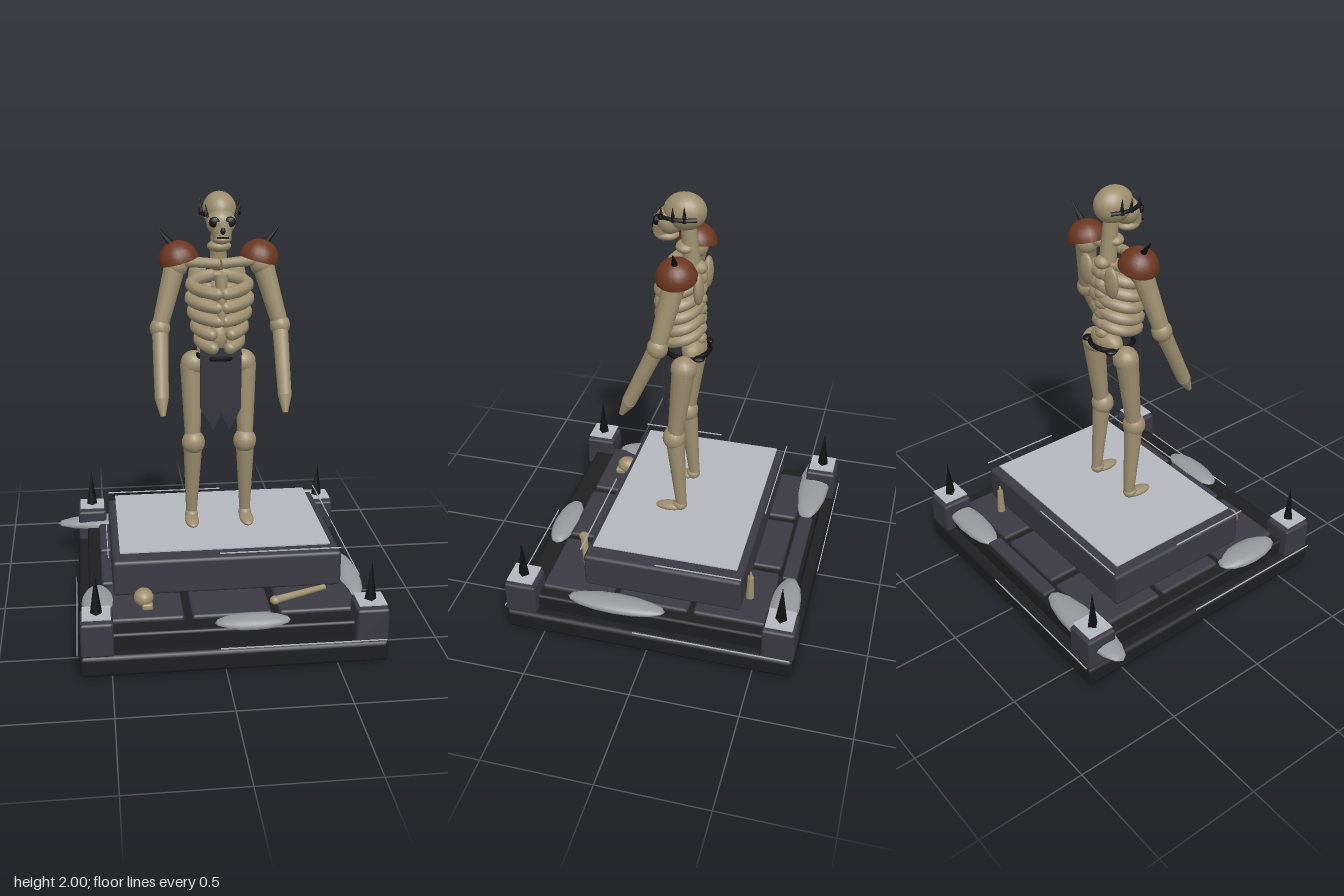
import * as THREE from 'three';
import { RoundedBoxGeometry } from 'three/addons/geometries/RoundedBoxGeometry.js';

const mat = (name, color, extra = {}) => {
  const m = new THREE.MeshStandardMaterial({ color, ...extra });
  m.name = name;
  return m;
};
const V = (x, y, z) => new THREE.Vector3(x, y, z);

export function createModel() {
  const bone = mat('bone', 0x9c8e6e);
  const stone = mat('stone', 0x3b3942);
  const darkStone = mat('dark stone', 0x1f1f21);
  const black = mat('black iron', 0x121214);
  const leather = mat('leather', 0x6b3620, { side: THREE.DoubleSide });
  const cloth = mat('cloth', 0x34333c, { side: THREE.DoubleSide });
  const pale = mat('pale stone', 0xb4b8be);
  const mist = mat('mist', 0x96989c);

  const root = new THREE.Group();
  const add = (parent, name, geo, m, x = 0, y = 0, z = 0) => {
    const mesh = new THREE.Mesh(geo, m);
    mesh.name = name;
    mesh.position.set(x, y, z);
    parent.add(mesh);
    return mesh;
  };
  const block = (p, name, m, w, h, d, x, y, z, r = 0.012) =>
    add(p, name, new RoundedBoxGeometry(w, h, d, 1, r), m, x, y, z);
  const plate = (p, name, m, w, h, d, x, y, z) =>
    add(p, name, new THREE.BoxGeometry(w, h, d), m, x, y, z);
  const blob = (p, name, m, rx, ry, rz, x, y, z, a = 16, b = 12) => {
    const s = add(p, name, new THREE.SphereGeometry(1, a, b), m, x, y, z);
    s.scale.set(rx, ry, rz);
    return s;
  };
  // tapered bone between two points, ra at a, rb at b
  const limb = (p, name, m, a, b, ra, rb, sides = 12) => {
    const dir = b.clone().sub(a);
    const s = add(p, name, new THREE.CylinderGeometry(rb, ra, dir.length(), sides), m);
    s.position.copy(a).addScaledVector(dir, 0.5);
    s.quaternion.setFromUnitVectors(V(0, 1, 0), dir.normalize());
    return s;
  };

  // Base, centred on the figure's axis
  const base = new THREE.Group();
  base.name = 'base';
  base.position.x = 0.045;
  root.add(base);
  block(base, 'bottomSlab', darkStone, 1.37, 0.1, 1.37, 0, 0.05, 0, 0.02);
  block(base, 'middleSlab', darkStone, 1.27, 0.09, 1.27, 0, 0.135, 0);
  for (let i = -1; i <= 1; i++)
    for (let j = -1; j <= 1; j++)
      block(base, 'floorTile', stone, 0.36, 0.03, 0.34, i * 0.395, 0.182, j * 0.365);
  block(base, 'backBrick', stone, 0.48, 0.03, 0.07, 0, 0.18, -0.585, 0.008);

  // Podium with the pale top sheet
  block(base, 'podium', stone, 1.06, 0.17, 0.75, 0.005, 0.295, -0.035, 0.015);
  plate(base, 'podiumTop', pale, 0.975, 0.006, 0.685, -0.002, 0.41, -0.037);

  // Corner pillars with pale caps and spikes
  for (const x of [-0.607, 0.607])
    for (const z of [-0.61, 0.61]) {
      block(base, 'cornerPillar', stone, 0.145, 0.16, 0.15, x, 0.178, z);
      plate(base, 'pillarCap', pale, 0.125, 0.005, 0.125, x, 0.275, z);
      add(base, 'pillarSpike', new THREE.ConeGeometry(0.03, 0.21, 4), black, x, 0.36, z);
    }

  // Thin edge strips: width, depth, x, y, z
  for (const [w, d, x, y, z] of [
    [0.74, 0.004, 0.345, 0.115, 0.693], [0.74, 0.004, -0.26, 0.115, -0.698],
    [0.004, 0.75, -0.65, 0.115, 0.305], [0.004, 0.73, 0.74, 0.115, -0.305],
    [0.56, 0.004, 0.29, 0.41, 0.353], [0.58, 0.004, -0.19, 0.41, -0.424],
    [0.004, 0.41, -0.498, 0.41, 0.135], [0.004, 0.4, 0.59, 0.41, -0.21],
  ]) plate(root, 'edgeStrip', pale, w, 0.005, d, x, y, z);

  // Low mist drifts: half sizes and place
  for (const [rx, rz, x, z] of [
    [0.275, 0.08, -0.47, -0.58], [0.2, 0.072, 0.47, -0.595], [0.062, 0.235, 0.643, 0.165],
    [0.077, 0.17, -0.55, 0.34], [0.17, 0.064, 0.13, 0.585],
  ]) {
    const m = blob(root, 'mistDrift', mist, rx, 0.03, rz, x, 0.183, z, 12, 8);
    m.geometry.rotateZ(Math.PI / 2);
    if (rz > rx) m.geometry.rotateY(Math.PI / 2);
  }

  // Loose skull, long bone and candle on the floor
  blob(root, 'looseSkull', bone, 0.045, 0.042, 0.05, -0.345, 0.238, 0.41);
  block(root, 'looseJaw', bone, 0.05, 0.03, 0.05, -0.33, 0.21, 0.44, 0.01);
  limb(root, 'looseBone', bone, V(0.25, 0.212, 0.455), V(0.5, 0.212, 0.35), 0.018, 0.013);
  blob(root, 'looseBoneEnd', bone, 0.024, 0.02, 0.024, 0.25, 0.212, 0.455);
  limb(root, 'candle', bone, V(0.457, 0.19, -0.43), V(0.457, 0.32, -0.43), 0.02, 0.014);
  limb(root, 'candleTip', bone, V(0.457, 0.32, -0.43), V(0.457, 0.348, -0.43), 0.009, 0.004);

  // Skeleton
  const fig = new THREE.Group();
  fig.name = 'skeleton';
  fig.position.x = 0.045;
  root.add(fig);

  // Skull
  blob(fig, 'cranium', bone, 0.076, 0.083, 0.095, 0, 1.917, -0.012, 20, 16);
  blob(fig, 'face', bone, 0.066, 0.062, 0.062, 0, 1.872, 0.055);
  limb(fig, 'muzzle', bone, V(0, 1.87, 0.075), V(0, 1.805, 0.095), 0.052, 0.04);
  blob(fig, 'jaw', bone, 0.046, 0.024, 0.055, 0, 1.802, 0.07);
  blob(fig, 'nose', black, 0.012, 0.017, 0.01, 0, 1.843, 0.127, 8, 6);
  plate(fig, 'mouth', black, 0.05, 0.008, 0.01, 0, 1.815, 0.129);
  for (const s of [-1, 1]) {
    blob(fig, 'eyeSocket', black, 0.026, 0.024, 0.016, s * 0.034, 1.88, 0.104, 12, 8);
    // Side bands of the crown and their spikes
    const band = [0.09, 0.03, -0.03, -0.08].map((z) =>
      V(s * 0.083 * Math.sqrt(1 - (z / 0.125) ** 2), 1.908, z));
    add(fig, 'crownBand', new THREE.TubeGeometry(new THREE.CatmullRomCurve3(band), 12, 0.01, 6), black);
    for (const [i, z] of [0.075, 0.02, -0.03].entries()) {
      const x = s * 0.083 * Math.sqrt(1 - (z / 0.125) ** 2);
      limb(fig, 'crownSpike', black, V(x, 1.9, z), V(x * 1.06, 1.955 + i * 0.008, z), 0.012, 0.001, 6);
    }
  }

  // Neck, spine and pelvis
  limb(fig, 'neck', bone, V(0, 1.66, -0.045), V(0, 1.86, -0.025), 0.04, 0.034);
  blob(fig, 'neckBone', bone, 0.055, 0.028, 0.045, 0, 1.755, -0.015);
  for (let i = 0; i < 9; i++)
    blob(fig, 'vertebra', bone, 0.038, 0.032, 0.038, 0, 1.26 + i * 0.05, -0.075, 10, 8);
  blob(fig, 'pelvis', bone, 0.1, 0.06, 0.055, 0, 1.26, -0.055);
  blob(fig, 'lowerSpine', bone, 0.045, 0.07, 0.045, 0, 1.33, -0.03);

  // Ribs sweep from the spine and droop to the front
  [0.128, 0.132, 0.122, 0.108, 0.092].forEach((rx, i) => {
    for (const s of [-1, 1]) {
      const pts = [];
      for (let k = 0; k <= 8; k++) {
        const t = (k / 8) * (i < 3 ? 3.0 : 2.7);
        pts.push(V(s * rx * Math.sin(t), 1.615 - i * 0.063 - 0.018 * k * 0.4, 0.008 - 0.088 * Math.cos(t)));
      }
      add(fig, 'rib', new THREE.TubeGeometry(new THREE.CatmullRomCurve3(pts), 24, 0.029, 8), bone);
      blob(fig, 'ribEnd', bone, 0.029, 0.029, 0.029, pts[8].x, pts[8].y, pts[8].z, 8, 6);
    }
  });
  limb(fig, 'breastbone', bone, V(0, 1.64, 0.075), V(0, 1.42, 0.1), 0.03, 0.02);

  // Belt and torn loincloth
  const belt = add(fig, 'belt', new THREE.TorusGeometry(0.1, 0.012, 6, 28), black, 0, 1.25, -0.025);
  belt.rotation.x = Math.PI / 2;
  const shape = new THREE.Shape([[-0.095, 1.3], [-0.095, 1.015], [-0.035, 0.905], [0.003, 0.985],
    [0.042, 0.905], [0.095, 1.01], [0.095, 1.3]].map(([x, y]) => new THREE.Vector2(x, y)));
  add(fig, 'loincloth', new THREE.ExtrudeGeometry(shape, { depth: 0.008, bevelEnabled: false }), cloth, 0, 0, 0.062);

  // Limbs and shoulder guards on both sides
  for (const s of [-1, 1]) {
    limb(fig, 'collarbone', bone, V(0, 1.685, 0.045), V(s * 0.19, 1.69, -0.01), 0.022, 0.026);
    blob(fig, 'shoulderBlade', bone, 0.045, 0.075, 0.022, s * 0.09, 1.6, -0.095);
    blob(fig, 'shoulder', bone, 0.055, 0.055, 0.055, s * 0.195, 1.67, -0.015);
    limb(fig, 'upperArm', bone, V(s * 0.2, 1.67, -0.015), V(s * 0.275, 1.4, 0.04), 0.05, 0.038);
    blob(fig, 'elbow', bone, 0.047, 0.05, 0.047, s * 0.275, 1.395, 0.04);
    limb(fig, 'forearm', bone, V(s * 0.275, 1.39, 0.045), V(s * 0.28, 1.1, 0.175), 0.037, 0.032);
    limb(fig, 'hand', bone, V(s * 0.28, 1.1, 0.175), V(s * 0.278, 1.03, 0.212), 0.032, 0.012);

    const guard = add(fig, 'shoulderGuard',
      new THREE.SphereGeometry(0.092, 16, 8, 0, Math.PI * 2, 0, Math.PI / 2), leather, s * 0.182, 1.69, -0.02);
    guard.rotation.z = -s * 0.25;
    limb(fig, 'guardSpike', black, V(s * 0.2, 1.75, -0.02), V(s * 0.282, 1.845, -0.032), 0.018, 0.001, 8);

    blob(fig, 'hip', bone, 0.062, 0.06, 0.06, s * 0.115, 1.205, -0.035);
    limb(fig, 'thigh', bone, V(s * 0.125, 1.2, -0.035), V(s * 0.125, 0.84, 0.005), 0.054, 0.036);
    blob(fig, 'knee', bone, 0.055, 0.058, 0.054, s * 0.122, 0.83, 0.01);
    limb(fig, 'shin', bone, V(s * 0.124, 0.82, 0.005), V(s * 0.13, 0.46, -0.025), 0.045, 0.026);
    blob(fig, 'ankle', bone, 0.032, 0.028, 0.034, s * 0.13, 0.45, -0.02);
    const foot = blob(fig, 'foot', bone, 0.034, 0.02, 0.075, s * 0.132, 0.437, 0.025);
    foot.rotation.x = 0.06;
    // Dark hip pegs
    blob(fig, 'hipPeg', black, 0.025, 0.013, 0.03, s * 0.085, 1.25, -0.095, 10, 8);
  }
  return root;
}
